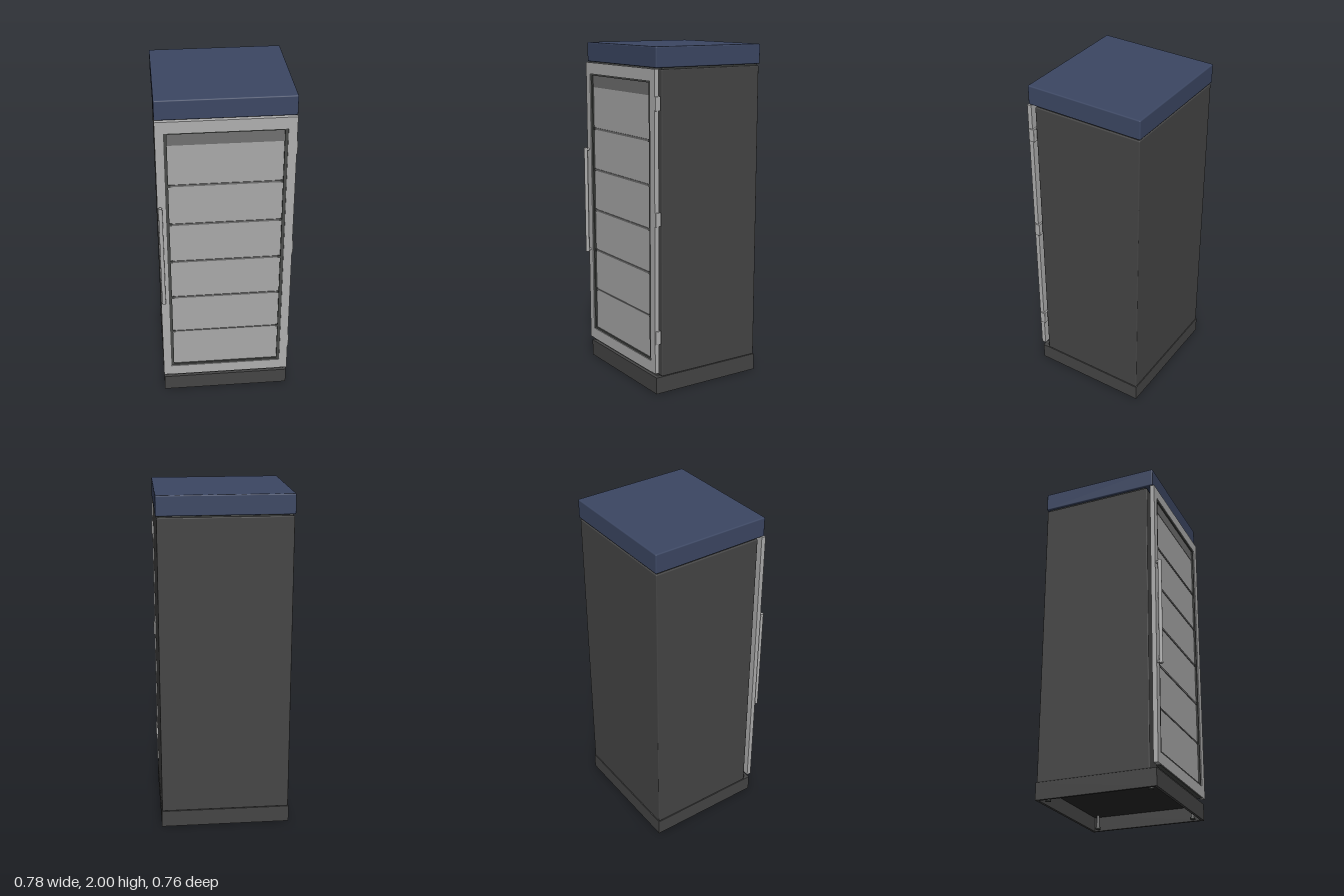
import * as THREE from 'three';
import { RoundedBoxGeometry } from 'three/addons/geometries/RoundedBoxGeometry.js';

const mat = (name, color) => {
  const m = new THREE.MeshStandardMaterial({ color });
  m.name = name;
  return m;
};

export function createModel() {
  const root = new THREE.Group();
  root.name = 'displayFridge';
  const navy = mat('navy', 0x3c4763);
  const charcoal = mat('charcoal', 0x454545);
  const steel = mat('steel', 0xafafaf);
  const pane = mat('paneGrey', 0xa9a9a9);
  const trim = mat('trimGrey', 0x484a48);
  const shelfGrey = mat('shelfGrey', 0x707070);
  const underside = mat('undersideBlack', 0x2b2b2b);

  const add = (parent, name, geometry, material) => {
    const mesh = new THREE.Mesh(geometry, material);
    mesh.name = name;
    parent.add(mesh);
    return mesh;
  };
  // Box given by its extents on each axis, with an optional softened edge
  const box = (parent, name, [x0, x1], [y0, y1], [z0, z1], material, r = 0) => {
    const size = [x1 - x0, y1 - y0, z1 - z0];
    const g = r ? new RoundedBoxGeometry(...size, 2, r) : new THREE.BoxGeometry(...size);
    const mesh = add(parent, name, g, material);
    mesh.position.set((x0 + x1) / 2, (y0 + y1) / 2, (z0 + z1) / 2);
    return mesh;
  };
  // Rectangular frame: outer and inner extents, extruded from z0 to z1
  const frame = (parent, name, [ox0, ox1, oy0, oy1], [ix0, ix1, iy0, iy1], z0, z1, material) => {
    const corners = (a, b, c, d) => [[a, c], [b, c], [b, d], [a, d]].map(p => new THREE.Vector2(...p));
    const shape = new THREE.Shape(corners(ox0, ox1, oy0, oy1));
    shape.holes.push(new THREE.Path(corners(ix0, ix1, iy0, iy1).reverse()));
    const g = new THREE.ExtrudeGeometry(shape, { depth: z1 - z0, bevelEnabled: false });
    const mesh = add(parent, name, g, material);
    mesh.position.z = z0;
    return mesh;
  };

  // Cabinet, top canopy and the recess between them
  box(root, 'cabinet', [-0.385, 0.38], [0.1, 1.876], [-0.375, 0.298], charcoal, 0.006);
  box(root, 'canopySpacer', [-0.375, 0.37], [1.87, 1.89], [-0.365, 0.288], trim);
  box(root, 'canopy', [-0.39, 0.385], [1.885, 2], [-0.38, 0.338], navy, 0.007);

  // Hollow plinth with four levelling feet
  const plinth = frame(root, 'plinth', [-0.388, 0.383, -0.338, 0.378],
    [-0.372, 0.367, -0.322, 0.362], 0, 0.1, charcoal);
  plinth.rotation.x = -Math.PI / 2;
  plinth.position.set(0, 0, 0);
  box(root, 'plinthFloor', [-0.386, 0.381], [0.085, 0.0995], [-0.374, 0.336], underside);
  for (const x of [-0.335, 0.33]) for (const z of [-0.325, 0.285]) {
    add(root, 'foot', new THREE.CylinderGeometry(0.009, 0.009, 0.08, 12), shelfGrey).position.set(x, 0.05, z);
    add(root, 'footPad', new THREE.CylinderGeometry(0.014, 0.016, 0.012, 16), trim).position.set(x, 0.008, z);
  }

  // Door standing clear of the cabinet
  const door = new THREE.Group();
  door.name = 'door';
  root.add(door);
  frame(door, 'doorFrame', [-0.39, 0.384, 0.128, 1.88], [-0.343, 0.335, 0.195, 1.812], 0.321, 0.348, steel);
  frame(door, 'doorTrim', [-0.343, 0.335, 0.195, 1.812], [-0.325, 0.317, 0.207, 1.803], 0.314, 0.343, trim);
  box(door, 'doorPane', [-0.327, 0.319], [0.205, 1.805], [0.316, 0.334], pane);
  box(door, 'ventPanel', [-0.325, 0.317], [1.733, 1.803], [0.334, 0.336], shelfGrey);
  box(door, 'doorSill', [-0.343, 0.335], [0.123, 0.13], [0.316, 0.344], trim);

  // Shelf edges showing across the pane; the lowest one is thinner
  [0.46, 0.716, 0.973, 1.228, 1.482].forEach((y, i) => {
    const h = i === 0 ? 0.004 : 0.006;
    box(door, 'shelfEdge', [-0.325, 0.317], [y - h, y + h], [0.333, 0.338], shelfGrey);
    for (const x of [-0.318, 0.31])
      box(door, 'shelfClip', [x - 0.007, x + 0.007], [y - 0.008, y + 0.008], [0.333, 0.339], trim);
  });

  // Hinges on the left edge of the door
  for (const y of [0.345, 1.042, 1.692])
    box(door, 'hinge', [0.34, 0.39], [y - 0.04, y + 0.04], [0.31, 0.346], steel, 0.003);

  // Handle bar on two standoffs
  const handle = new THREE.Group();
  handle.name = 'handle';
  door.add(handle);
  add(handle, 'handleBar', new THREE.CylinderGeometry(0.011, 0.011, 0.66, 20), steel).position.set(-0.374, 1.03, 0.369);
  for (const y of [0.712, 1.348]) {
    const post = add(handle, 'handlePost', new THREE.CylinderGeometry(0.008, 0.008, 0.026, 16), steel);
    post.rotation.x = Math.PI / 2;
    post.position.set(-0.374, y, 0.357);
  }
  return root;
}
